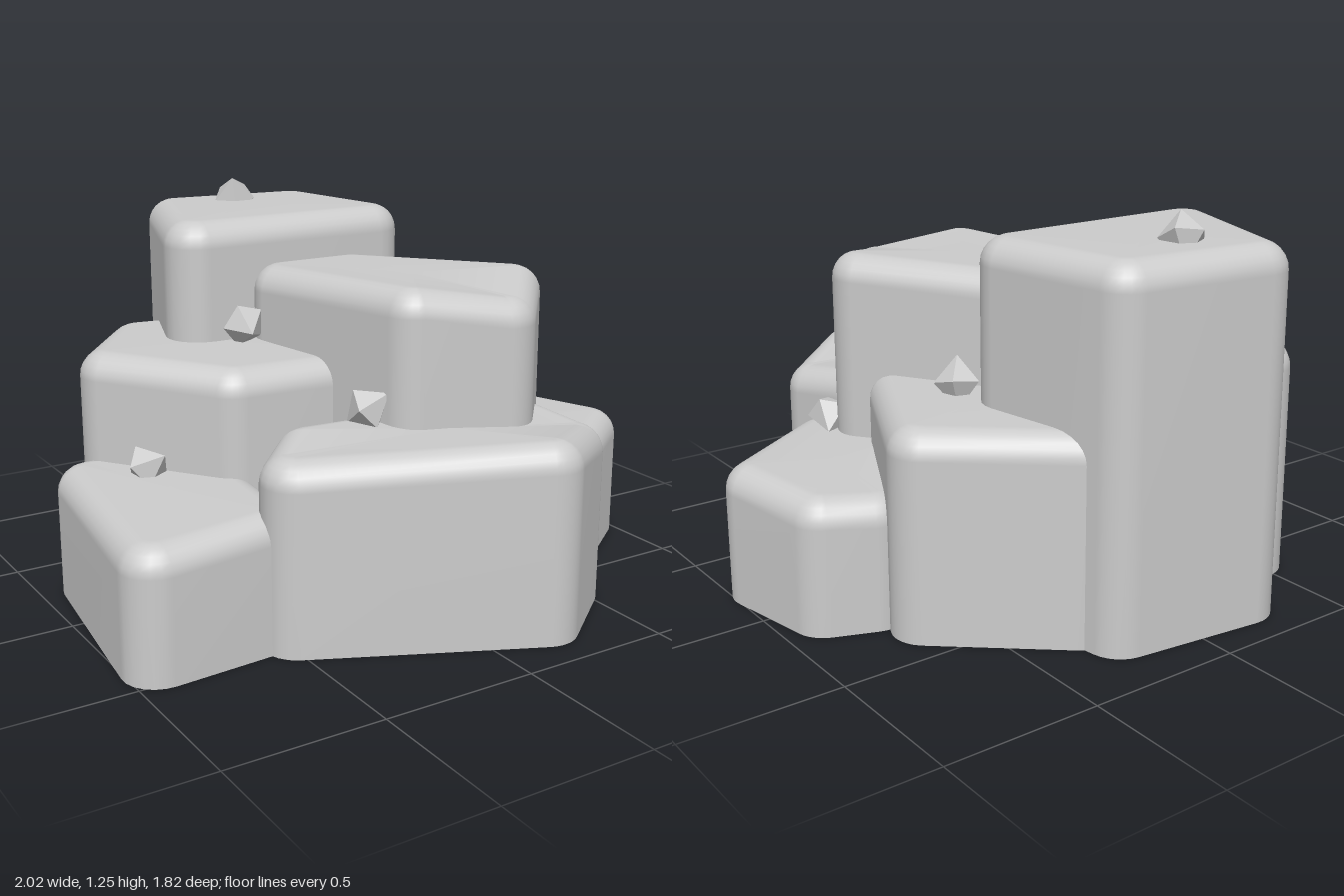
import * as THREE from 'three';

const CORNER = 0.11, BEVEL = 0.085, ARC = 6, STEPS = 6;

// Upright boulder: corners [x, z, height], clockwise from above, open underneath
function boulder(corners) {
  const n = corners.length;
  const normal = (a, b) => new THREE.Vector2(b[1] - a[1], a[0] - b[0]).normalize();
  const outline = [];
  corners.forEach((c, i) => {
    const n1 = normal(corners[(i + n - 1) % n], c);
    const n2 = normal(c, corners[(i + 1) % n]);
    const k = CORNER / (1 + n1.dot(n2));
    const cx = c[0] - k * (n1.x + n2.x), cz = c[1] - k * (n1.y + n2.y);
    const a = n1.angle();
    let turn = n2.angle() - a;
    if (turn > Math.PI) turn -= 2 * Math.PI;
    if (turn < -Math.PI) turn += 2 * Math.PI;
    for (let s = 0; s <= ARC; s++) {
      const t = a + turn * s / ARC;
      outline.push({ cx, cz, dx: Math.cos(t), dz: Math.sin(t), h: c[2] });
    }
  });

  // Rings: foot, then a quarter-round shoulder up to the top
  const pos = [], index = [], m = outline.length;
  const ring = (inset, height) => outline.forEach(p => {
    const r = CORNER - inset;
    pos.push(p.cx + r * p.dx, height(p.h), p.cz + r * p.dz);
  });
  ring(0, () => 0);
  for (let s = 0; s <= STEPS; s++) {
    const t = s / STEPS * Math.PI / 2;
    ring(BEVEL * (1 - Math.cos(t)), h => h - BEVEL * (1 - Math.sin(t)));
  }
  for (let r = 0; r <= STEPS; r++) {
    for (let i = 0; i < m; i++) {
      const j = (i + 1) % m;
      const a = r * m + i, b = r * m + j, c = a + m, d = b + m;
      index.push(a, c, b, b, c, d);
    }
  }

  // Top cap fanned from the middle
  const mean = k => corners.reduce((sum, c) => sum + c[k], 0) / n;
  const centre = pos.length / 3, last = (STEPS + 1) * m;
  pos.push(mean(0), mean(2), mean(1));
  for (let i = 0; i < m; i++) index.push(last + i, centre, last + (i + 1) % m);

  const g = new THREE.BufferGeometry();
  g.setAttribute('position', new THREE.Float32BufferAttribute(pos, 3));
  g.setIndex(index);
  g.computeVertexNormals();
  return g;
}

export function createModel() {
  const model = new THREE.Group();
  model.name = 'rockPile';
  const stone = new THREE.MeshStandardMaterial({ color: 0xcccccc, side: THREE.DoubleSide });
  const pebble = new THREE.MeshStandardMaterial({ color: 0xcccccc, flatShading: true });

  const rocks = {
    tallBackRock: [[-0.29, -0.92, 1.17], [0.31, -0.85, 1.17], [0.415, -0.23, 1.17], [-0.53, -0.23, 1.17]],
    leftBackRock: [[-0.53, -0.7, 0.78], [0, -0.62, 0.78], [0.05, 0.18, 0.77], [-0.51, 0.16, 0.775], [-0.835, -0.31, 0.78]],
    middleRock: [[-0.25, -0.3, 1.02], [0.2, -0.3, 1.02], [0.57, 0.3, 1.035], [0.3, 0.6, 0.99], [-0.1, 0.48, 1.035]],
    frontRock: [[-0.39, 0.24, 0.62], [0.48, 0.27, 0.61], [0.56, 0.66, 0.58], [0.22, 0.925, 0.625], [-0.66, 0.51, 0.6]],
    rightFrontRock: [[0.68, -0.3, 0.42], [0.94, -0.2, 0.43], [1.02, 0.22, 0.445], [0.47, 0.62, 0.43], [0.3, 0.1, 0.44]],
    rightBackRock: [[0.29, -0.77, 0.66], [0.76, -0.37, 0.66], [0.48, 0.22, 0.66], [0.1, 0.2, 0.66], [0, -0.6, 0.66]],
    leftFrontRock: [[-0.92, -0.35, 0.43], [-0.4, -0.27, 0.44], [-0.45, 0.5, 0.43], [-1.03, 0.54, 0.415]],
  };
  for (const [name, corners] of Object.entries(rocks)) {
    const mesh = new THREE.Mesh(boulder(corners), stone);
    mesh.name = name;
    model.add(mesh);
  }

  // Small faceted stones resting on the ledges: x, y, z, tilt
  const stones = [
    [-0.05, 1.18, -0.69, 0.5], [-0.28, 0.83, -0.19, 1.1], [-0.7, 0.45, -0.06, 0.7],
    [-0.15, 0.66, 0.36, 1.4], [0.38, 0.69, -0.16, 0.6], [0.53, 0.47, 0.39, 0.9],
  ];
  const stoneGeometry = new THREE.SphereGeometry(0.085, 5, 2);
  stones.forEach(([x, y, z, tilt], i) => {
    const mesh = new THREE.Mesh(stoneGeometry, pebble);
    mesh.name = 'smallStone' + (i + 1);
    mesh.position.set(x, y, z);
    mesh.rotation.set(tilt, i * 1.3, tilt * 0.6);
    mesh.scale.set(0.9, 1, 0.85);
    model.add(mesh);
  });
  return model;
}
